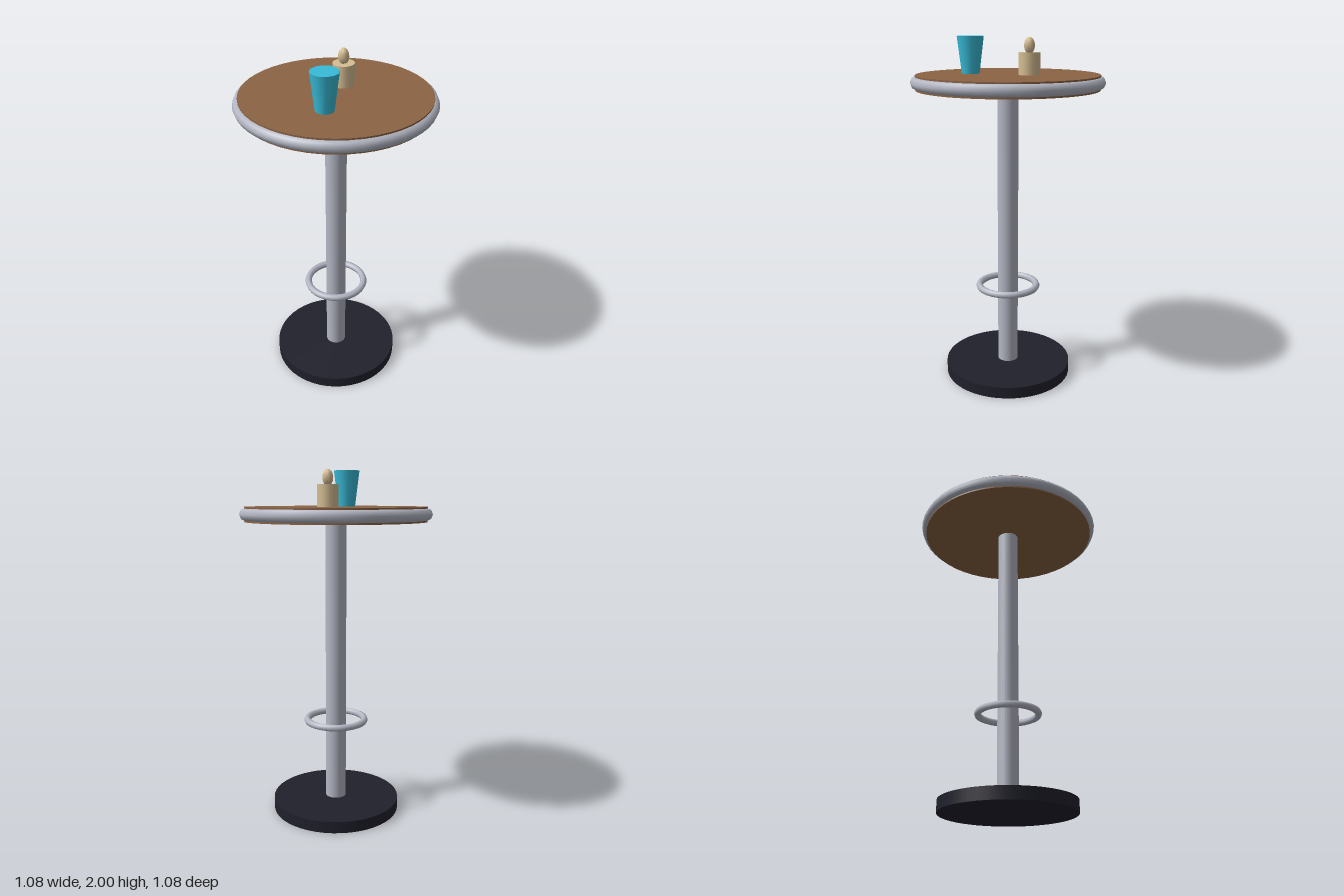
import * as THREE from 'three';

const mat = (name, color) => {
  const m = new THREE.MeshStandardMaterial({ color });
  m.name = name;
  return m;
};

export function createModel() {
  const group = new THREE.Group();
  const wood = mat('brown wood', 0x8b6344);
  const metal = mat('brushed metal', 0xb4b7c4);
  const dark = mat('dark base', 0x20202c);
  const cyan = mat('cyan cup', 0x38bcd8);
  const wax = mat('cream wax', 0xd6be92);

  const add = (name, geometry, material, x, y, z) => {
    const mesh = new THREE.Mesh(geometry, material);
    mesh.name = name;
    mesh.position.set(x, y, z);
    group.add(mesh);
    return mesh;
  };
  // Upright cylinder standing between two heights
  const post = (name, rTop, rBottom, y0, y1, sides, material, x = 0, z = 0) =>
    add(name, new THREE.CylinderGeometry(rTop, rBottom, y1 - y0, sides), material, x, (y0 + y1) / 2, z);
  // Horizontal ring around the pole axis
  const ring = (name, radius, tube, y, sides) =>
    add(name, new THREE.TorusGeometry(radius, tube, 8, sides).rotateX(-Math.PI / 2), metal, 0, y, 0);

  // Stand
  post('base', 0.375, 0.375, 0, 0.068, 48, dark);
  post('pole', 0.06, 0.06, 0.068, 1.72, 24, metal);
  ring('footRing', 0.17, 0.02, 0.55, 32);

  // Table top with metal edge
  post('tableTop', 0.512, 0.512, 1.714, 1.796, 48, wood);
  ring('tableRim', 0.505, 0.035, 1.755, 48);

  // Tapered cup
  post('cup', 0.075, 0.05, 1.796, 2, 12, cyan, -0.17, 0.135);

  // Candle and flame
  post('candle', 0.06, 0.06, 1.796, 1.916, 16, wax, 0.102, -0.07);
  const flame = add('flame', new THREE.SphereGeometry(0.03, 8, 8), wax, 0.102, 1.952, -0.07);
  flame.scale.y = 1.5;

  return group;
}
